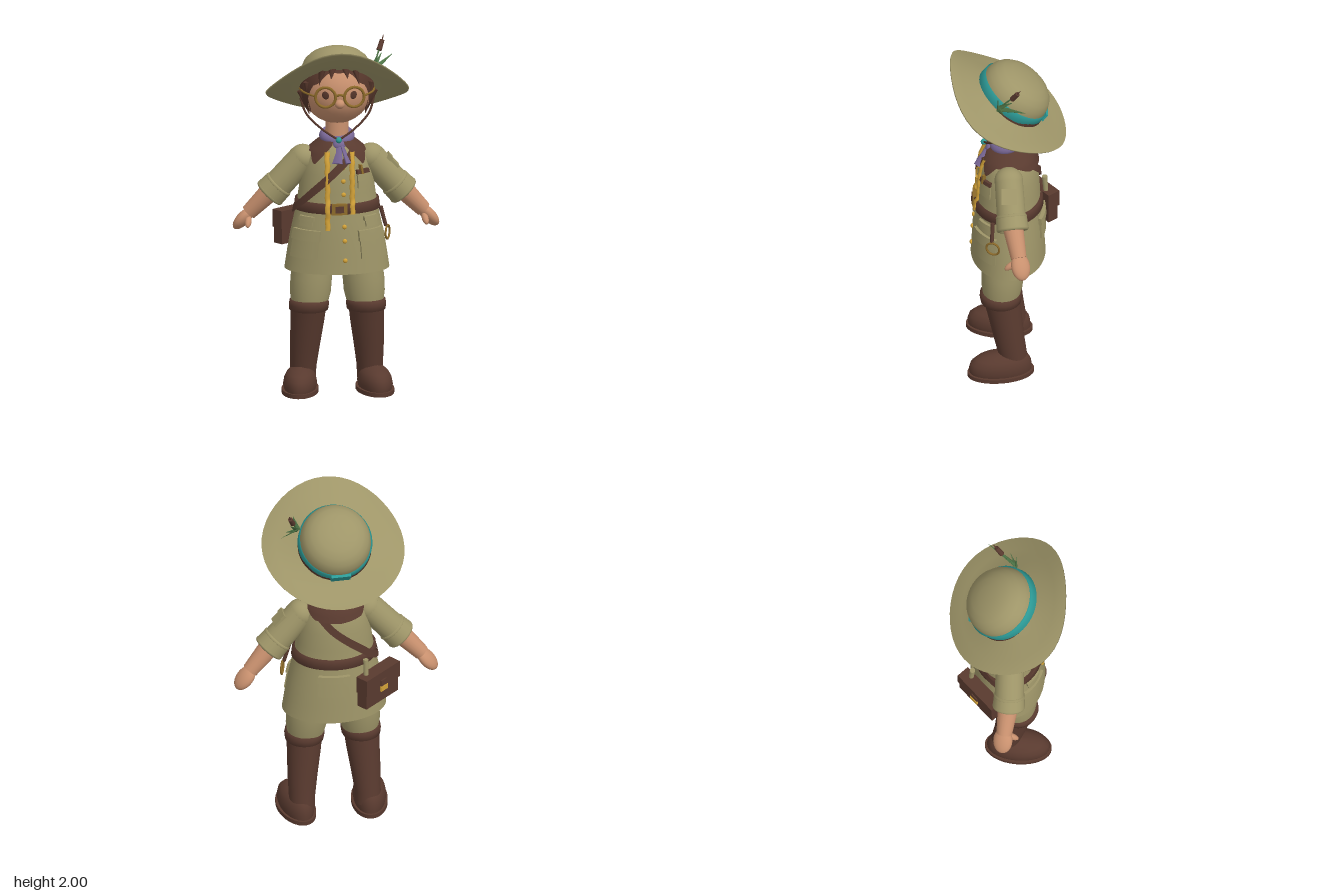
import * as THREE from 'three';
import { mergeVertices } from 'three/addons/utils/BufferGeometryUtils.js';

const mat = (name, color) => Object.assign(new THREE.MeshStandardMaterial({ color, side: THREE.DoubleSide }), { name });
const V = (x, y, z) => new THREE.Vector3(x, y, z);
const TAU = Math.PI * 2;

// Surface from a rule f(u, v) -> [x, y, z]
function grid(nu, nv, f) {
  const pos = [], idx = [];
  for (let j = 0; j <= nv; j++) for (let i = 0; i <= nu; i++) pos.push(...f(i / nu, j / nv));
  for (let j = 0; j < nv; j++) for (let i = 0; i < nu; i++) {
    const a = j * (nu + 1) + i, b = a + nu + 1;
    idx.push(a, a + 1, b + 1, a, b + 1, b);
  }
  let g = new THREE.BufferGeometry();
  g.setAttribute('position', new THREE.Float32BufferAttribute(pos, 3));
  g.setIndex(idx);
  g = mergeVertices(g, 1e-5);
  g.computeVertexNormals();
  return g;
}
// Piecewise linear lookup in rows [key, ...values]
function lookup(rows, k) {
  let i = 0;
  while (i < rows.length - 2 && k > rows[i + 1][0]) i++;
  const t = THREE.MathUtils.clamp((k - rows[i][0]) / (rows[i + 1][0] - rows[i][0]), 0, 1);
  return rows[i].slice(1).map((v, n) => v + (rows[i + 1][n + 1] - v) * t);
}
// Stack of elliptical rings [y, cx, cz, rx, rz]
const rings = (list, n = 28) => grid(n, list.length - 1, (u, v) => {
  const [y, cx, cz, rx, rz] = list[Math.round(v * (list.length - 1))];
  return [cx + rx * Math.sin(u * TAU), y, cz + rz * Math.cos(u * TAU)];
});
// Coat radii: [y, rx, rz]; angle 0 is the front
const COAT = [[0.70, 0.292, 0.208], [0.8, 0.277, 0.202], [0.9, 0.26, 0.197], [1.0, 0.238, 0.188], [1.07, 0.224, 0.18], [1.15, 0.212, 0.176],
  [1.25, 0.2, 0.17], [1.33, 0.178, 0.156], [1.38, 0.148, 0.136], [1.42, 0.1, 0.11], [1.45, 0.062, 0.065]];
function onCoat(a, y, off = 0) {
  const [rx, rz] = lookup(COAT, y);
  return [(rx + off) * Math.sin(a), y, (rz + off) * Math.cos(a)];
}
// Box bent around the coat, da radians wide
function coatBox(a, y, da, h, d) {
  const g = new THREE.BoxGeometry(1, h, d, 6, 2, 1), p = g.attributes.position;
  for (let i = 0; i < p.count; i++) p.setXYZ(i, ...onCoat(a + p.getX(i) * da, y + p.getY(i), p.getZ(i) + d / 2 - 0.004));
  g.computeVertexNormals();
  return g;
}

export function createModel() {
  const root = new THREE.Group();
  root.name = 'explorer';
  const khaki = mat('khaki', 0x9e9568), leather = mat('leather', 0x593a2f), hairM = mat('hair brown', 0x54352a),
    skin = mat('skin', 0xc8906e), teal = mat('teal', 0x2c9a96), purple = mat('purple', 0x776694),
    yellow = mat('yellow', 0xd3a238), brass = mat('brass', 0x8c6a2a), green = mat('green', 0x4c7245);

  const add = (name, geo, m, p = [0, 0, 0], s = [1, 1, 1], parent = root) => {
    const o = new THREE.Mesh(geo, m);
    o.name = name; o.position.set(...p); o.scale.set(...s);
    parent.add(o);
    return o;
  };
  const ball = (name, m, p, s) => add(name, new THREE.SphereGeometry(1, 24, 16), m, p, s);
  const aim = (o, a, b) => { o.quaternion.setFromUnitVectors(V(0, 1, 0), b.clone().sub(a).normalize()); return o; };
  const limb = (name, m, a, b, ra, rb, flat = 1) => aim(add(name, new THREE.CylinderGeometry(rb, ra, a.distanceTo(b), 20), m,
    a.clone().lerp(b, 0.5).toArray(), [1, 1, flat]), a, b);
  const tube = (name, m, pts, r) => add(name, new THREE.TubeGeometry(new THREE.CatmullRomCurve3(pts), 32, r, 8), m);

  // Coat and its lining
  add('coat', rings(COAT.map(([y, rx, rz]) => [y, 0, 0, rx, rz]), 40), khaki);
  add('coatLining', rings([[0.86, 0, 0, 0.01, 0.01], [0.85, 0, 0, 0.25, 0.18], [0.701, 0, 0, 0.282, 0.2]], 40), leather);
  add('belt', rings([[1.042, 0, 0, 0.215, 0.17], [1.042, 0, 0, 0.24, 0.197], [1.098, 0, 0, 0.233, 0.191], [1.098, 0, 0, 0.2, 0.16]], 40), leather);
  add('buckle', coatBox(0, 1.07, 0.36, 0.06, 0.024), brass);
  add('bucklePlate', coatBox(0, 1.07, 0.2, 0.036, 0.027), leather);
  for (const y of [1.3, 1.225, 1.15, 0.97, 0.89, 0.78]) {
    const [x, , z] = onCoat(0.11, y, 0.003);
    ball('button', yellow, [x, y, z], [0.013, 0.013, 0.009]);
  }
  // Pockets
  for (const s of [-1, 1]) {
    add('hipPocket', coatBox(s * 0.82, 0.86, 0.74, 0.15, 0.014), khaki);
    add('hipPocketFlap', coatBox(s * 0.82, 0.915, 0.8, 0.06, 0.02), khaki);
    add('smallPocket', coatBox(s * 0.83, 0.985, 0.38, 0.045, 0.014), khaki);
    add('smallPocketFlap', coatBox(s * 0.83, 1.008, 0.46, 0.025, 0.02), khaki);
  }
  add('chestPocket', coatBox(0.74, 1.225, 0.44, 0.09, 0.015), khaki);
  add('chestPocketTrim', coatBox(0.74, 1.272, 0.46, 0.022, 0.02), leather);
  add('chestPen', coatBox(0.66, 1.285, 0.06, 0.05, 0.026), brass);
  add('backPocket', coatBox(Math.PI - 0.15, 0.93, 0.66, 0.12, 0.016), khaki);
  add('backPocketFlap', coatBox(Math.PI - 0.15, 0.98, 0.72, 0.04, 0.025), khaki);

  // Collar, pointed in front, narrow on the shoulders, deeper at the back
  const collarLow = [[0.3, 1.42], [0.75, 1.31], [1.1, 1.375], [1.9, 1.375], [2.35, 1.34], [Math.PI, 1.33]];
  add('collar', grid(80, 8, (u, v) => {
    const a = 0.3 + u * (TAU - 0.6), low = lookup(collarLow, Math.min(a, TAU - a))[0];
    return onCoat(a, low + (1.445 - low) * v, 0.016);
  }), leather);

  // Shoulder strap running round the body to the bag
  const strapPath = new THREE.CatmullRomCurve3([V(1.35, 1.42, 0), V(0.55, 1.385, 0), V(0.05, 1.31, 0), V(-0.5, 1.2, 0), V(-1.1, 1.09, 0),
    V(-1.6, 1.035, 0), V(-2.1, 1.06, 0), V(-2.65, 1.16, 0), V(-3.25, 1.27, 0), V(-3.85, 1.37, 0), V(-4.9, 1.42, 0)]);
  add('strap', grid(80, 1, (u, v) => {
    const p = strapPath.getPoint(u), t = strapPath.getTangent(u);
    const k = (v - 0.5) * 0.04, l = Math.hypot(t.x * 0.18, t.y);
    return onCoat(p.x + (t.y / l) * k / 0.18, p.y - (t.x * 0.18 / l) * k, 0.014);
  }), leather);

  // Satchel behind the right hip
  const bag = new THREE.Group();
  bag.name = 'satchel';
  bag.position.set(-0.215, 0.91, -0.168);
  bag.rotation.y = Math.atan2(-0.62, -0.78);
  root.add(bag);
  const bagBox = (name, w, h, d, p, m) => add(name, new THREE.BoxGeometry(w, h, d), m, p, [1, 1, 1], bag);
  bagBox('bagBody', 0.27, 0.18, 0.065, [0, -0.005, 0], leather);
  bagBox('bagFlap', 0.28, 0.1, 0.076, [0, 0.045, 0.002], leather);
  bagBox('bagTab', 0.045, 0.07, 0.01, [0, 0.01, 0.041], leather);
  bagBox('bagClasp', 0.055, 0.03, 0.012, [0, -0.008, 0.044], yellow);
  limb('stick', khaki, V(-0.14, 0.95, -0.215), V(-0.14, 1.1, -0.205), 0.013, 0.015);

  // Key ring at the left hip
  const ring = add('beltRing', new THREE.TorusGeometry(0.038, 0.006, 8, 24), brass, [0.275, 0.912, 0.09]);
  ring.rotation.y = 1.2;
  limb('ringStrap', leather, V(0.265, 0.95, 0.095), V(0.236, 1.06, 0.09), 0.01, 0.012);

  // Flat yellow cords down the front
  for (const [x, end] of [[-0.065, 0.95], [0.073, 1.04]]) {
    const n = 24;
    add('cord', grid(8, n, (u, v) => {
      const y = end + (1.385 - end) * v, [, rz] = lookup(COAT, y), a = u * TAU;
      const lift = y > 1.03 && y < 1.11 ? 0.014 : 0.004;
      return [x + 0.002 * Math.sin(v * 40) + 0.0145 * Math.sin(a), y, rz * Math.sqrt(1 - (x / 0.21) ** 2) + lift + 0.01 * Math.cos(a)];
    }), yellow);
  }

  // Scarf with knot, tails and bead
  const scarf = add('scarf', new THREE.TorusGeometry(0.07, 0.029, 12, 32), purple, [0, 1.45, 0.008], [1, 1, 1]);
  scarf.rotation.x = Math.PI / 2 + 0.25;
  ball('scarfKnot', purple, [0.005, 1.412, 0.1], [0.036, 0.03, 0.026]);
  for (const s of [-1, 1]) limb('scarfTail', purple, V(s * 0.012 + 0.01, 1.41, 0.112), V(0.02 + s * 0.034, 1.32, 0.156), 0.022, 0.038, 0.4);
  ball('cordBead', teal, [0, 1.452, 0.135], [0.017, 0.017, 0.017]);

  for (const s of [-1, 1]) {
    // Arm: sleeve, rolled cuff, forearm, hand
    const P = (x, y, z) => V(s * x, y, z), shoulder = P(0.19, 1.322, 0), cuffA = P(0.325, 1.17, -0.012), cuffB = P(0.37, 1.122, -0.018), wrist = P(0.485, 1.005, -0.05);
    ball('shoulder', khaki, shoulder.toArray(), [0.078, 0.078, 0.08]);
    limb('sleeve', khaki, shoulder, cuffA, 0.079, 0.081);
    limb('cuff', khaki, cuffA, cuffB, 0.086, 0.09);
    for (const [c, r] of [[cuffA, 0.075], [cuffB, 0.078]])
      aim(add('cuffRim', new THREE.TorusGeometry(r, 0.013, 8, 28).rotateX(Math.PI / 2), khaki, c.toArray()), cuffA, cuffB);
    limb('forearm', skin, P(0.35, 1.15, -0.016), wrist, 0.06, 0.044);
    aim(ball('hand', skin, [s * 0.515, 0.968, -0.06], [0.036, 0.078, 0.055]), wrist, P(0.57, 0.905, -0.07));
    aim(ball('thumb', skin, [s * 0.492, 0.962, -0.008], [0.018, 0.044, 0.02]), P(0.48, 0.99, -0.04), P(0.495, 0.94, 0.03));

    // Leg: trousers, boot, foot
    add('trouserLeg', rings([[0.5, s * 0.155, 0.04, 0.1, 0.1], [0.57, s * 0.15, 0.036, 0.114, 0.114], [0.65, s * 0.145, 0.032, 0.116, 0.118], [0.72, s * 0.14, 0.03, 0.112, 0.118], [0.86, s * 0.135, 0.025, 0.105, 0.115]]), khaki);
    add('bootShaft', rings([[0.06, s * 0.187, -0.03, 0.073, 0.08], [0.13, s * 0.185, -0.02, 0.073, 0.08], [0.25, s * 0.178, 0.002, 0.083, 0.086], [0.4, s * 0.166, 0.025, 0.094, 0.096], [0.5, s * 0.16, 0.042, 0.1, 0.104]]), leather);
    add('bootCuff', rings([[0.465, s * 0.16, 0.043, 0.09, 0.095], [0.47, s * 0.16, 0.043, 0.108, 0.112], [0.5, s * 0.159, 0.045, 0.112, 0.116], [0.525, s * 0.158, 0.046, 0.108, 0.113], [0.53, s * 0.158, 0.046, 0.09, 0.095]]), leather);
    const foot = new THREE.Group();
    foot.name = 'foot';
    foot.position.set(s * 0.208, 0, 0.045);
    foot.rotation.y = s * 0.14;
    root.add(foot);
    add('sole', new THREE.CylinderGeometry(1, 1, 0.024, 32), leather, [0, 0.012, 0], [0.102, 1, 0.186], foot);
    add('footUpper', rings([[0.022, 0, 0, 0.088, 0.174], [0.05, 0, 0.002, 0.094, 0.176], [0.085, 0, 0, 0.088, 0.168], [0.112, 0, -0.008, 0.074, 0.145],
      [0.13, 0, -0.025, 0.052, 0.11], [0.142, 0, -0.045, 0.02, 0.06]]), leather, [0, 0, 0], [1, 1, 1], foot);
  }
  // Pocket on the left sleeve
  for (const [name, w, h, up] of [['sleevePocket', 0.014, 0.085, 0], ['sleevePocketFlap', 0.026, 0.03, 0.03]])
    add(name, new THREE.BoxGeometry(w, h, 0.085), khaki, [0.312 - 0.68 * up, 1.299 + 0.73 * up, 0]).rotation.z = 0.75;

  // Head
  add('neck', new THREE.CylinderGeometry(0.062, 0.068, 0.16, 24), skin, [0, 1.49, 0.008]);
  ball('head', skin, [0, 1.717, 0], [0.196, 0.194, 0.202]);
  ball('nose', skin, [0, 1.675, 0.206], [0.028, 0.026, 0.028]);
  for (const s of [-1, 1]) {
    aim(ball('eye', hairM, [s * 0.078, 1.722, 0.186], [0.02, 0.005, 0.023]), V(0, 0, 0), V(s * 0.38, 0, 0.92));
    add('glassesRim', new THREE.TorusGeometry(0.056, 0.008, 10, 32), brass, [s * 0.08, 1.717, 0.212]).rotation.y = s * 0.15;
    tube('glassesArm', brass, [V(s * 0.137, 1.722, 0.205), V(s * 0.19, 1.725, 0.12), V(s * 0.206, 1.72, 0)], 0.006);
    tube('chinCord', hairM, [V(s * 0.205, 1.67, 0.02), V(s * 0.175, 1.59, 0.06), V(s * 0.09, 1.51, 0.11), V(0, 1.452, 0.135)], 0.006);
  }
  tube('glassesBridge', brass, [V(-0.024, 1.722, 0.215), V(0, 1.732, 0.222), V(0.024, 1.722, 0.215)], 0.007);

  // Hair with a jagged fringe, side locks and a bun, all kept under the hat
  const hairLow = [[0, 1.85], [0.4, 1.83], [0.8, 1.765], [1.02, 1.66], [1.15, 1.6], [1.35, 1.64], [1.7, 1.585], [2.2, 1.55], [Math.PI, 1.545]];
  add('hair', grid(96, 12, (u, v) => {
    const a = u * TAU - Math.PI, low = lookup(hairLow, Math.abs(a))[0] + 0.016 * Math.abs(Math.sin(a * 5)) - 0.01;
    const th = Math.acos((low - 1.72) / 0.2) * (1 - v), r = Math.sin(th);
    return [0.208 * r * Math.sin(a), 1.72 + 0.2 * Math.cos(th), 0.209 * r * Math.cos(a)];
  }), hairM);
  for (const s of [-1, 1]) for (const [a, top, tip, w] of [[0.25, 1.865, 1.815, 0.025], [0.6, 1.85, 1.775, 0.028], [1.08, 1.78, 1.6, 0.026], [1.38, 1.72, 1.58, 0.026]]) {
    const q = y => { const k = Math.sqrt(1 - ((y - 1.72) / 0.22) ** 2) * 0.205; return V(s * k * Math.sin(a), y, k * Math.cos(a)); };
    limb('hairLock', hairM, q(top), q(tip), w, 0.002, 0.6);
  }
  ball('bun', hairM, [0, 1.558, -0.164], [0.068, 0.056, 0.06]);

  // Tilted hat; the brim droops at the front sides and levels out behind
  const hat = new THREE.Group();
  hat.name = 'hat';
  hat.position.set(0, 1.755, 0);
  hat.rotation.x = -0.634;
  root.add(hat);
  const turned = prof => grid(48, prof.length - 1, (u, v) => {
    const [r, y] = prof[Math.round(v * (prof.length - 1))], x = r * Math.sin(u * TAU), z = r * Math.cos(u * TAU);
    return r > 0.22 ? [x, y - 0.055 * (x / 0.4) ** 2 * (1 + 1.6 * z / 0.4), z] : [x, y, 1.04 * z - 0.008];
  });
  add('brim', turned([[0.17, -0.006], [0.24, -0.01], [0.32, -0.012], [0.395, -0.008], [0.398, 0.002], [0.32, 0], [0.24, 0.004], [0.17, 0.012]]), khaki, [0, 0, 0], [1, 1, 1], hat);
  add('crown', turned([[0.196, -0.005], [0.198, 0.06], [0.192, 0.095], [0.175, 0.13], [0.145, 0.158], [0.105, 0.177], [0.055, 0.186], [0, 0.189]]), khaki, [0, 0, 0], [1, 1, 1], hat);
  add('hatBand', turned([[0.19, 0.01], [0.206, 0.01], [0.206, 0.062], [0.19, 0.062]]), teal, [0, 0, 0], [1, 1, 1], hat);
  add('bandBow', new THREE.BoxGeometry(0.11, 0.05, 0.016), teal, [0, 0.038, -0.22], [1, 1, 1], hat);

  // Reed and leaves tucked in the band
  const base = V(0.195, 1.83, 0.06);
  limb('reedStem', green, base, V(0.243, 1.945, -0.03), 0.005, 0.004);
  limb('reedHead', leather, V(0.236, 1.925, -0.018), V(0.256, 1.975, -0.048), 0.015, 0.013);
  limb('reedTip', leather, V(0.256, 1.975, -0.048), V(0.264, 2.0, -0.062), 0.004, 0.002);
  for (const t of [V(0.315, 1.885, -0.09), V(0.22, 1.92, 0.06), V(0.27, 1.84, 0.03), V(0.25, 1.91, -0.02)])
    limb('leaf', green, base, t, 0.018, 0.001, 0.3);
  return root;
}
